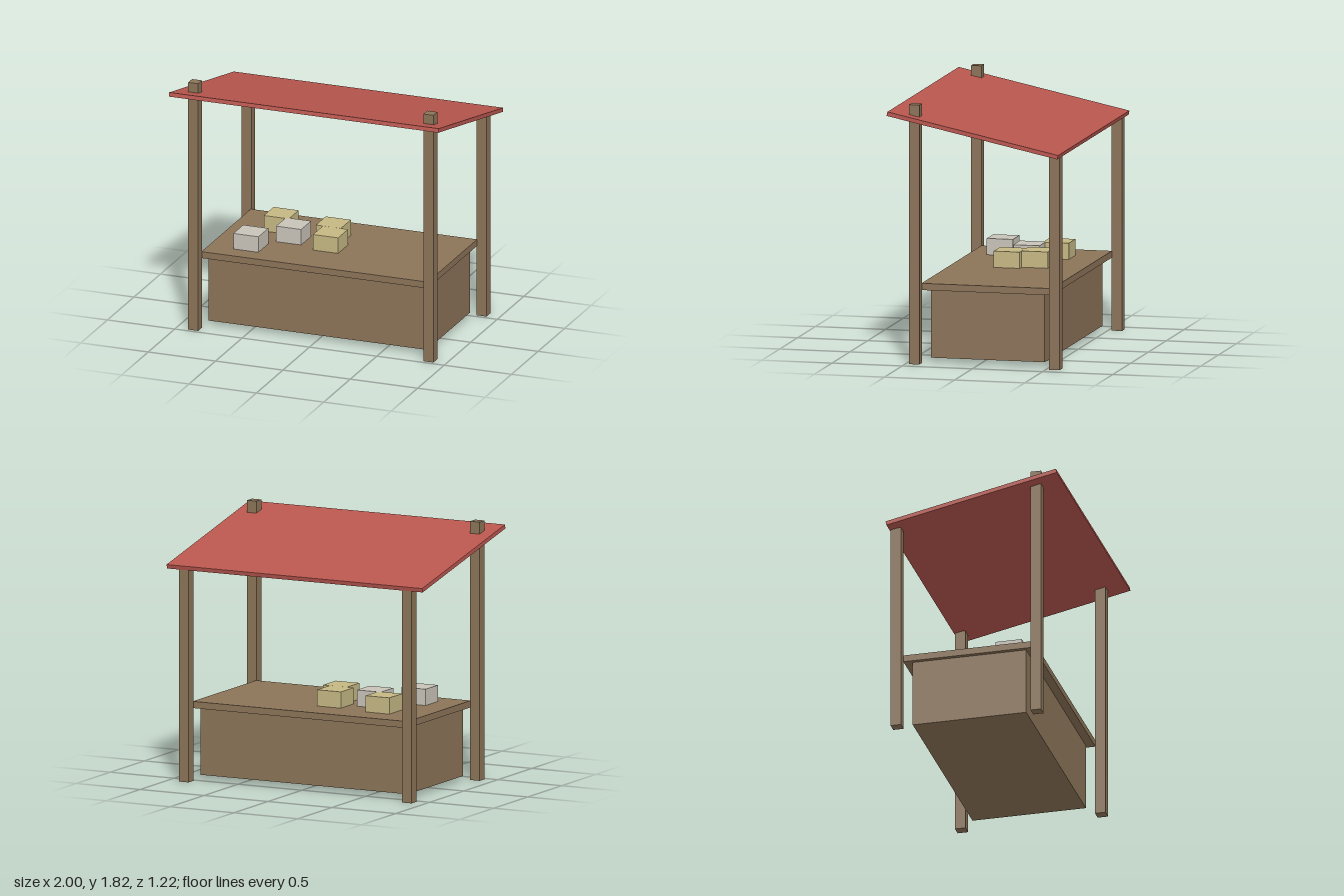
import * as THREE from 'three';

export function createModel() {
  const stall = new THREE.Group();
  stall.name = 'marketStall';

  const material = (name, color) => {
    const m = new THREE.MeshStandardMaterial({ color });
    m.name = name;
    return m;
  };
  const wood = material('wood', 0x8b7358);
  const red = material('roofRed', 0xb8564e);
  const straw = material('strawYellow', 0xc5b783);
  const grey = material('paleGrey', 0xc8c3b8);

  // Box given by its size, the height of its underside and its centre on the ground plan
  const addBox = (name, mat, [w, h, d], x, bottom, z) => {
    const mesh = new THREE.Mesh(new THREE.BoxGeometry(w, h, d), mat);
    mesh.name = name;
    mesh.position.set(x, bottom + h / 2, z);
    stall.add(mesh);
    return mesh;
  };

  // Counter: closed body under an overhanging top
  addBox('counterBody', wood, [1.62, 0.475, 0.81], 0, 0.035, -0.062);
  addBox('counterTop', wood, [1.68, 0.047, 0.93], 0, 0.51, -0.062);

  // Posts: the front pair pierces the roof, the back pair stops beneath it
  for (const side of [-1, 1]) {
    const prefix = side > 0 ? 'left' : 'right';
    addBox(prefix + 'FrontPost', wood, [0.074, 1.815, 0.074], side * 0.873, 0, 0.438);
    addBox(prefix + 'BackPost', wood, [0.074, 1.5, 0.074], side * 0.873, 0, -0.562);
  }

  // Roof panel sloping down to the back
  const roof = addBox('roof', red, [2, 0.029, 1.243], 0, 1.6165, 0);
  roof.rotation.x = -0.208;

  // Goods on the counter
  const goods = [
    [grey, -0.562, 0.178],
    [grey, -0.342, -0.068],
    [straw, -0.5, -0.237],
    [straw, -0.095, -0.19],
    [straw, -0.042, -0.003],
  ];
  goods.forEach(([mat, x, z], i) =>
    addBox('goodsBox' + (i + 1), mat, [0.186, 0.114, 0.186], x, 0.557, z));

  return stall;
}
